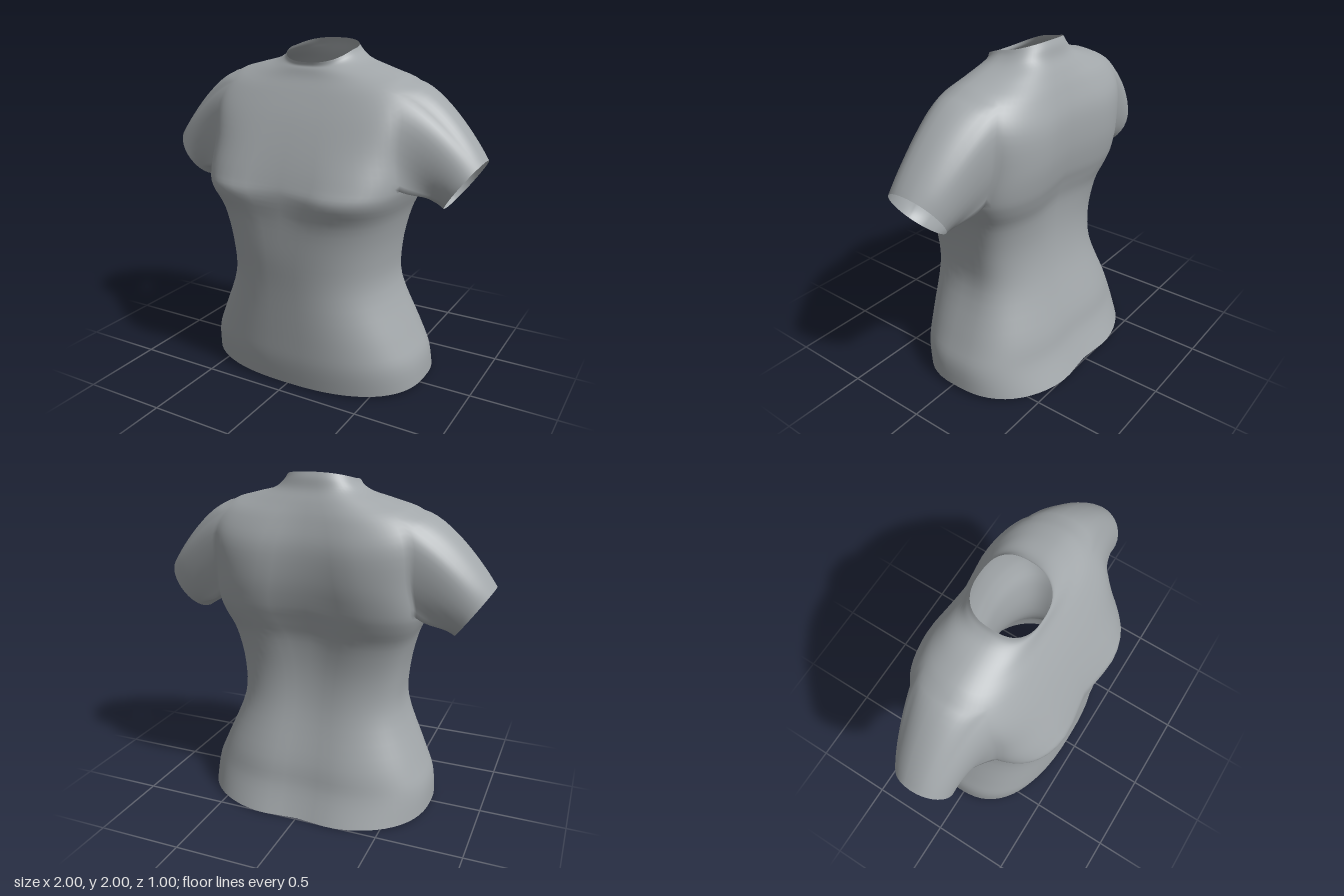
import * as THREE from 'three';

// Body cross-sections, hem to collar:
// y at front, side, back | half width | front z, back z | centre groove front, back | roundness
const SECTIONS = [
  [0.01, 0.025, 0.00, 0.705, 0.42, -0.53, 0.00, 0.04, 0.82],
  [0.16, 0.17, 0.16, 0.69, 0.44, -0.455, 0.00, 0.03, 0.80],
  [0.32, 0.32, 0.32, 0.625, 0.445, -0.415, 0.00, 0.03, 0.78],
  [0.60, 0.60, 0.60, 0.508, 0.45, -0.32, 0.00, 0.03, 0.76],
  [0.82, 0.82, 0.82, 0.505, 0.46, -0.285, 0.00, 0.03, 0.72],
  [1.03, 1.03, 1.03, 0.545, 0.47, -0.30, 0.01, 0.04, 0.64],
  [1.17, 1.16, 1.16, 0.595, 0.51, -0.34, 0.05, 0.05, 0.57],
  [1.26, 1.25, 1.26, 0.62, 0.475, -0.37, 0.03, 0.05, 0.56], // underarm
  [1.41, 1.41, 1.42, 0.625, 0.40, -0.395, 0.01, 0.05, 0.57],
  [1.58, 1.69, 1.60, 0.635, 0.31, -0.39, 0.00, 0.045, 0.60],
  [1.71, 1.80, 1.74, 0.57, 0.235, -0.34, 0.00, 0.03, 0.66], // shoulder point
  [1.79, 1.85, 1.83, 0.42, 0.185, -0.29, 0.00, 0.015, 0.74],
  [1.84, 1.885, 1.90, 0.285, 0.163, -0.25, 0.00, 0.01, 0.80],
  [1.86, 1.92, 1.96, 0.225, 0.152, -0.225, 0.00, 0.00, 0.80],
  [1.88, 1.95, 1.995, 0.203, 0.155, -0.21, 0.00, 0.00, 0.80],
];
const SUB = 4, COLS = 64, HALF = 6, SLEEVE_STEPS = 12;
const ROWS = (SECTIONS.length - 1) * SUB;
const HOLE_LOW = 7 * SUB, HOLE_HIGH = 10 * SUB;
const SIDE_Z = -0.03;

// Smooth interpolation between the sections
function sectionAt(row) {
  const i = Math.min(Math.floor(row / SUB), SECTIONS.length - 2);
  const t = row / SUB - i;
  const at = k => SECTIONS[Math.max(0, Math.min(SECTIONS.length - 1, k))];
  return at(i).map((b, k) => {
    const c = at(i + 1)[k], m0 = (c - at(i - 1)[k]) / 2, m1 = (at(i + 2)[k] - b) / 2;
    return hermite(b, c, m0, m1, t);
  });
}

function hermite(a, b, m0, m1, t) {
  const t2 = t * t, t3 = t2 * t;
  return a * (2 * t3 - 3 * t2 + 1) + m0 * (t3 - 2 * t2 + t) + b * (3 * t2 - 2 * t3) + m1 * (t3 - t2);
}

// Rounded-box shaped point on a body section; columns gather under the arm
function bodyPoint(row, col) {
  const [yF, yS, yB, w, zF, zB, gF, gB, p] = sectionAt(row);
  const angle = (col / COLS) * Math.PI * 2;
  const gather = 0.24 * Math.exp(-(((row - HOLE_LOW) / (1.2 * SUB)) ** 2));
  const a = angle - gather * Math.sin(2 * angle), c = Math.cos(a), s = Math.sin(a);
  const x = w * Math.sign(c) * Math.abs(c) ** p;
  const front = s >= 0;
  const groove = Math.exp(-((x / 0.18) ** 2)) * (front ? -gF : gB);
  const depth = Math.abs(s) ** p;
  const z = SIDE_Z + ((front ? zF : zB) - SIDE_Z) * depth + groove * depth;
  const y = yS + ((front ? yF : yB) - yS) * depth ** 1.4;
  return [x, y, z];
}

export function createModel() {
  const positions = [];
  const id = (row, col) => row * COLS + ((col + COLS) % COLS);
  const quad = (list, a, b, c, d) => list.push(a, b, c, a, c, d);

  // Body grid, leaving an armhole on each side
  const bodyIndex = [];
  for (let r = 0; r <= ROWS; r++)
    for (let c = 0; c < COLS; c++) positions.push(...bodyPoint(r, c));
  const nearSide = c => (c >= -HALF && c < HALF) || (c >= COLS / 2 - HALF && c < COLS / 2 + HALF);
  for (let r = 0; r < ROWS; r++)
    for (let c = -HALF; c < COLS - HALF; c++) {
      if (r >= HOLE_LOW && r < HOLE_HIGH && nearSide(c)) continue;
      quad(bodyIndex, id(r, c), id(r + 1, c), id(r + 1, c + 1), id(r, c + 1));
    }

  // Armhole outline as [row, column] steps
  const outline = [];
  for (let c = -HALF; c < HALF; c++) outline.push([HOLE_LOW, c]);
  for (let r = HOLE_LOW; r < HOLE_HIGH; r++) outline.push([r, HALF]);
  for (let c = HALF; c > -HALF; c--) outline.push([HOLE_HIGH, c]);
  for (let r = HOLE_HIGH; r > HOLE_LOW; r--) outline.push([r, -HALF]);

  // Sleeve running from the armhole to an oval cuff
  function sleeve(side) {
    const index = [];
    let previous = outline.map(([r, c]) => id(r, side > 0 ? c : COLS / 2 - c));
    const starts = outline.map(([r, c]) => bodyPoint(r, c));
    for (let k = 1; k <= SLEEVE_STEPS; k++) {
      const t = k / SLEEVE_STEPS;
      const ring = starts.map(([x, y, z]) => {
        const a = Math.atan2((z - SIDE_Z) / 0.26, (y - 1.52) / 0.28);
        const up = Math.cos(a), s = (up + 1) / 2;
        const ex = 0.895 + 0.105 * up, ey = 1.255 + 0.145 * up, ez = -0.02 + 0.17 * Math.sin(a);
        const dz = ez - z, fast = z > SIDE_Z ? 1.8 : 0.8;
        positions.push(
          side * hermite(x, ex, 0.12 + 0.33 * s, 0.16 + 0.1 * s, t),
          hermite(y, ey, -0.22 + 0.14 * s, -0.12 - 0.28 * s, t),
          hermite(z, ez, dz * fast, dz * (2 - fast), t));
        return positions.length / 3 - 1;
      });
      for (let i = 0; i < ring.length; i++) {
        const j = (i + 1) % ring.length;
        if (side > 0) quad(index, previous[i], ring[i], ring[j], previous[j]);
        else quad(index, previous[i], previous[j], ring[j], ring[i]);
      }
      previous = ring;
    }
    return index;
  }
  const leftIndex = sleeve(1), rightIndex = sleeve(-1);

  // Shared normals keep the shoulder seams smooth
  const whole = new THREE.BufferGeometry();
  whole.setAttribute('position', new THREE.Float32BufferAttribute(positions, 3));
  whole.setIndex([...bodyIndex, ...leftIndex, ...rightIndex]);
  whole.computeVertexNormals();

  const fabric = new THREE.MeshStandardMaterial({ color: 0xa2a7aa, side: THREE.DoubleSide });
  fabric.name = 'greyFabric';

  const group = new THREE.Group();
  group.name = 'shirt';
  const parts = { shirtBody: bodyIndex, leftSleeve: leftIndex, rightSleeve: rightIndex };
  for (const [name, index] of Object.entries(parts)) {
    const geometry = new THREE.BufferGeometry();
    geometry.setAttribute('position', whole.attributes.position);
    geometry.setAttribute('normal', whole.attributes.normal);
    geometry.setIndex(index);
    const mesh = new THREE.Mesh(geometry, fabric);
    mesh.name = name;
    group.add(mesh);
  }
  return group;
}
